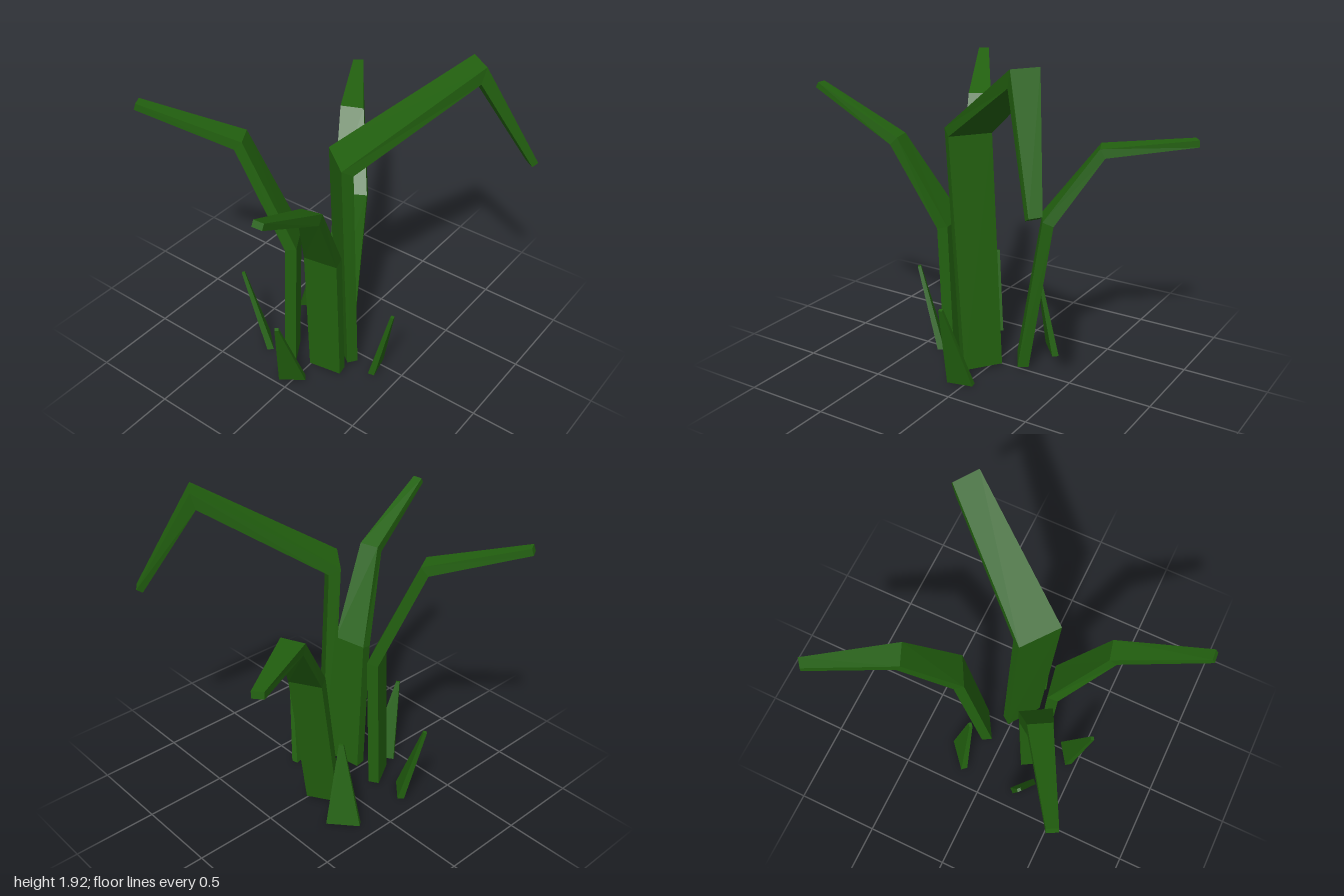
import * as THREE from 'three';

const material = new THREE.MeshStandardMaterial({ color: 0x22600f, flatShading: true });

// A folded leaf: rectangular sections mitred along a path.
// Each section is [x, y, z, widthX, widthZ, thickness].
function makeLeaf(name, sections) {
  const centres = sections.map(s => new THREE.Vector3(s[0], s[1], s[2]));
  const last = sections.length - 1;
  const faceNormal = (i, w) =>
    centres[i + 1].clone().sub(centres[i]).cross(w).normalize();
  const rings = sections.map((s, i) => {
    const w = new THREE.Vector3(s[3], 0, s[4]);
    let n;
    if (i === 0) n = faceNormal(0, w).setY(0).normalize(); // flat cut at the base
    else if (i === last) n = faceNormal(i - 1, w);
    else {
      const a = faceNormal(i - 1, w), b = faceNormal(i, w);
      n = a.clone().add(b).divideScalar(1 + a.dot(b));
    }
    return [[-1, -1], [1, -1], [1, 1], [-1, 1]].map(([u, v]) =>
      centres[i].clone().addScaledVector(w, u / 2).addScaledVector(n, v * s[5] / 2));
  });

  const points = [];
  const quad = (a, b, c, d) => points.push(a, b, c, a, c, d);
  for (let i = 0; i < last; i++) {
    for (let k = 0; k < 4; k++) {
      const m = (k + 1) % 4;
      quad(rings[i][k], rings[i][m], rings[i + 1][m], rings[i + 1][k]);
    }
  }
  quad(...[...rings[0]].reverse());
  quad(...rings[last]);

  const geometry = new THREE.BufferGeometry().setFromPoints(points);
  geometry.computeVertexNormals();
  const mesh = new THREE.Mesh(geometry, material);
  mesh.name = name;
  return mesh;
}

// A short straight shoot tapering from a wide base to a narrow tip
function makeShoot(name, [x, z], [wx, wz], [tipX, tipZ]) {
  return makeLeaf(name, [
    [x, 0, z, wx, wz, 0.04],
    [tipX, 0.5, tipZ, wx * 0.14, wz * 0.14, 0.02],
  ]);
}

export function createModel() {
  const plant = new THREE.Group();
  plant.name = 'plant';

  // Four tall folded leaves
  plant.add(
    makeLeaf('frontLeaf', [
      [-0.03, 0.02, 0.11, 0.14, -0.19, 0.065],
      [-0.105, 1.44, 0.115, 0.155, -0.2, 0.065],
      [0.5, 1.87, 0.55, 0.09, -0.13, 0.07],
      [0.72, 1.29, 0.825, 0.04, -0.06, 0.04],
    ]),
    makeLeaf('backRightLeaf', [
      [-0.25, 0.02, -0.14, 0.17, -0.1, 0.065],
      [-0.225, 0.88, -0.13, 0.17, -0.1, 0.065],
      [-0.345, 1.51, -0.375, 0.115, -0.065, 0.06],
      [-0.62, 1.69, -0.85, 0.055, -0.03, 0.04],
    ]),
    makeLeaf('rightLeaf', [
      [-0.215, 0.02, 0.1, 0.035, 0.2, 0.065],
      [-0.25, 0.87, 0.1, 0.035, 0.2, 0.065],
      [-0.51, 1.36, 0.225, 0.028, 0.115, 0.06],
      [-0.99, 1.635, 0.31, 0.005, 0.06, 0.035],
    ]),
    makeLeaf('backLeftLeaf', [
      [0.145, 0.02, -0.075, 0.1, 0.165, 0.065],
      [0.285, 0.93, -0.1, 0.095, 0.17, 0.065],
      [0.53, 1.325, -0.275, 0.055, 0.13, 0.055],
      [0.97, 1.37, -0.555, 0.04, 0.05, 0.04],
    ]),
  );

  // Four short shoots around the base
  plant.add(
    makeShoot('frontShoot', [-0.03, 0.33], [0.15, -0.035], [-0.07, 0.46]),
    makeShoot('rightShoot', [-0.41, -0.015], [0.09, 0.13], [-0.55, 0]),
    makeShoot('backLeftShoot', [0.21, -0.32], [0.13, 0.15], [0.155, -0.24]),
    makeShoot('backRightShoot', [-0.25, -0.335], [0.11, -0.12], [-0.285, -0.48]),
  );

  return plant;
}
